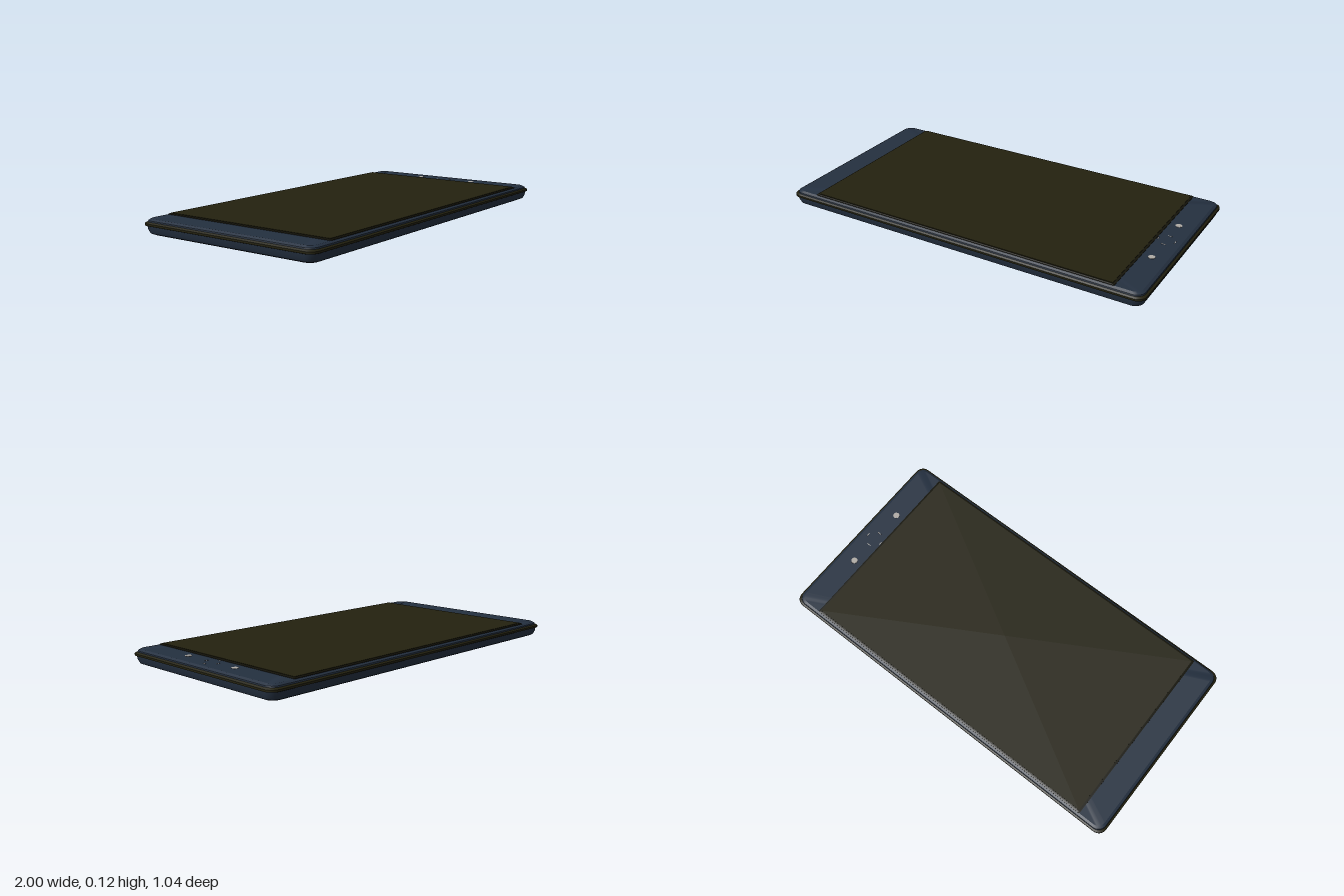
import * as THREE from 'three';
import { toCreasedNormals } from 'three/addons/utils/BufferGeometryUtils.js';

const mat = (name, color) => {
  const m = new THREE.MeshStandardMaterial({ color });
  m.name = name;
  return m;
};

// Rounded rectangle in the xz plane; seg = 0 gives plain corners
function ring([hx, hz, y, r = 0], seg) {
  const pts = [];
  [[1, 1], [-1, 1], [-1, -1], [1, -1]].forEach(([sx, sz], k) => {
    for (let j = 0; j <= seg; j++) {
      const a = (k + (seg ? j / seg : 0.5)) * Math.PI / 2;
      pts.push([sx * (hx - r) + r * Math.cos(a), y, sz * (hz - r) + r * Math.sin(a)]);
    }
  });
  return pts;
}

// Skin through levels [halfX, halfZ, y, cornerRadius]
function loft(levels, { seg = 6, cap = false, crease = 0.5 } = {}) {
  const rows = levels.map(l => ring(l, seg));
  const n = rows[0].length, pos = [];
  for (let k = 0; k + 1 < rows.length; k++) {
    for (let i = 0; i < n; i++) {
      const j = (i + 1) % n;
      const [a, b, c, d] = [rows[k][i], rows[k][j], rows[k + 1][j], rows[k + 1][i]];
      pos.push(...a, ...d, ...c, ...a, ...c, ...b);
    }
  }
  if (cap) {
    const top = rows[rows.length - 1];
    for (let i = 0; i < n; i++) pos.push(...top[i], 0, top[0][1], 0, ...top[(i + 1) % n]);
  }
  const g = new THREE.BufferGeometry();
  g.setAttribute('position', new THREE.Float32BufferAttribute(pos, 3));
  g.computeVertexNormals();
  return toCreasedNormals(g, crease);
}

export function createModel() {
  const model = new THREE.Group();
  model.name = 'tablet';
  const blue = mat('slate blue casing', 0x243040);
  const olive = mat('dark olive glass', 0x23210f);
  const dark = mat('near black frame', 0x15140a);
  const grey = mat('light grey', 0xb0aba5);

  const add = (name, geo, material, x = 0, y = 0, z = 0, parent = model) => {
    const m = new THREE.Mesh(geo, material);
    m.name = name;
    m.position.set(x, y, z);
    parent.add(m);
    return m;
  };

  // Casing: tapered back, trim band, bevelled face
  add('backShell', loft([
    [0.845, 0.355, 0.004, 0.03], [0.965, 0.485, 0.034, 0.04], [0.982, 0.502, 0.042, 0.045],
    [0.99, 0.509, 0.06, 0.045], [0.993, 0.512, 0.084, 0.045],
  ]), blue);
  add('trimBand', loft([
    [0.992, 0.511, 0.078, 0.045], [1, 0.518, 0.081, 0.045], [1, 0.518, 0.091, 0.045], [0.99, 0.508, 0.098, 0.045],
  ]), olive);
  add('faceBezel', loft([
    [0.99, 0.51, 0.094, 0.045], [0.988, 0.507, 0.104, 0.045], [0.975, 0.495, 0.112, 0.04],
  ], { cap: true }), blue);

  // Flat back with an opening for the camera recess
  const cx = -0.47, cz = 0.015, rx = 0.25, rz = 0.205;
  const back = new THREE.Shape(ring([0.845, 0.355, 0, 0.03], 6).map(p => new THREE.Vector2(p[0], p[2])));
  back.holes.push(new THREE.Path(ring([rx, rz, 0], 0).map(p => new THREE.Vector2(p[0] + cx, p[2] + cz))));
  add('backPanel', new THREE.ShapeGeometry(back).rotateX(Math.PI / 2), blue, 0, 0.004, 0);

  // Camera set into a sloped recess
  const camera = new THREE.Group();
  camera.name = 'rearCamera';
  camera.position.set(cx, 0, cz);
  model.add(camera);
  add('recess', loft([
    [0.001, 0.001, 0.052], [0.15, 0.15, 0.052], [rx - 0.003, rz - 0.003, 0], [rx, rz, 0.004],
  ], { seg: 0, crease: 0.1 }), blue, 0, 0, 0, camera);
  add('lensHousing', new THREE.CylinderGeometry(0.13, 0.118, 0.014, 40), dark, 0, 0.046, 0, camera);
  add('lensRing', new THREE.TorusGeometry(0.09, 0.005, 8, 40).rotateX(Math.PI / 2), grey, 0, 0.039, 0, camera);
  add('lensGlass', new THREE.CylinderGeometry(0.084, 0.084, 0.004, 40), olive, 0, 0.038, 0, camera);

  // Screen in a thin dark frame
  add('screenFrame', loft([
    [0.852, 0.496, 0.106, 0.006], [0.852, 0.496, 0.114, 0.006], [0.846, 0.491, 0.117, 0.006],
  ], { seg: 2, cap: true }), dark);
  add('screen', loft([
    [0.841, 0.485, 0.115], [0.841, 0.485, 0.119],
  ], { seg: 0, cap: true }), olive);

  // Touch keys on the bezel
  for (const z of [-0.16, 0.185]) {
    add('keyDot', new THREE.CylinderGeometry(0.017, 0.017, 0.003, 20), grey, 0.9, 0.1118, z);
  }
  for (const s of [-1, 1]) {
    add('homeKeyMark', new THREE.BoxGeometry(0.004, 0.002, 0.018), grey, 0.901 + s * 0.043, 0.112, 0.003);
    add('homeKeyMark', new THREE.BoxGeometry(0.022, 0.002, 0.004), grey, 0.901, 0.112, 0.003 + s * 0.043);
  }
  return model;
}
